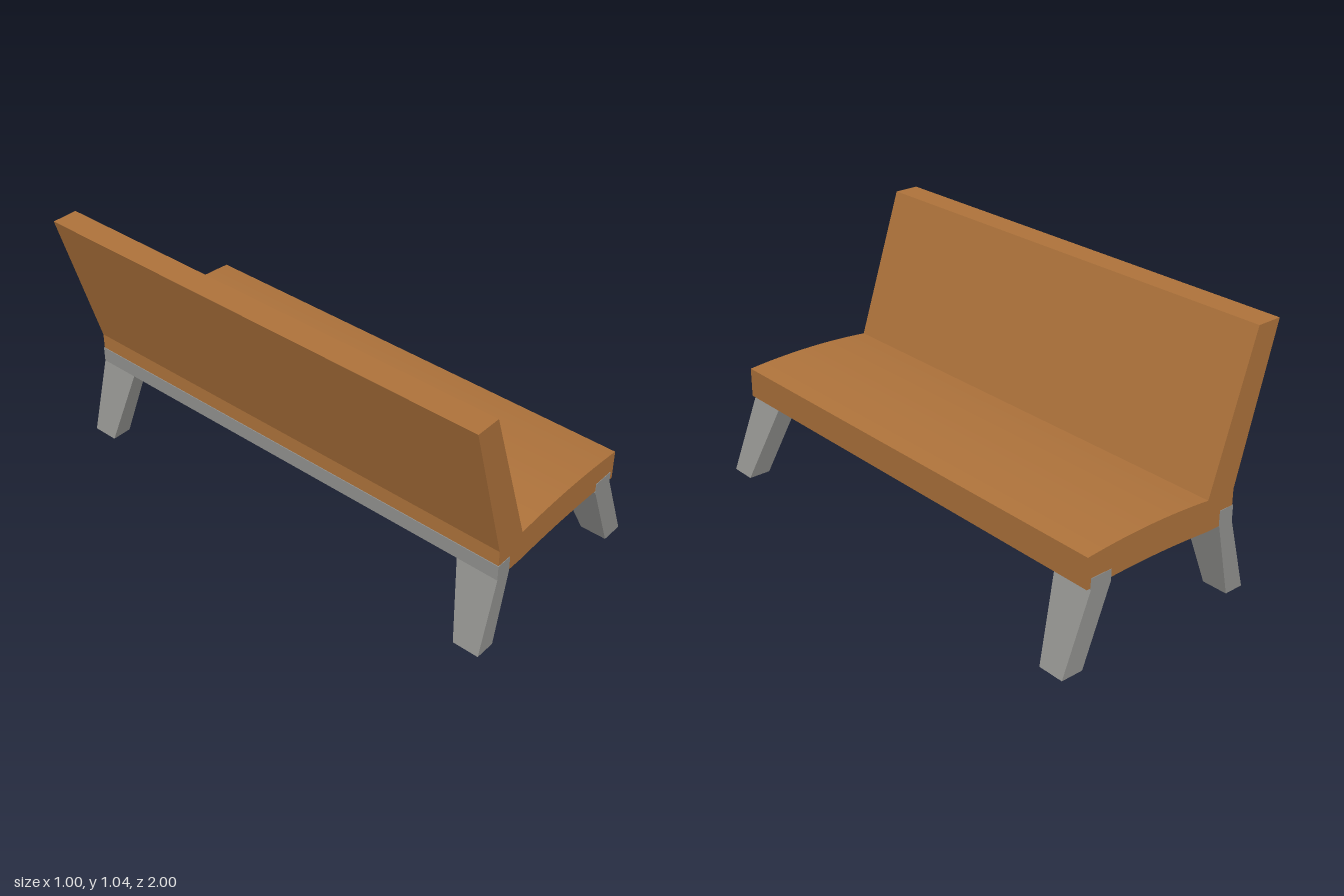
import * as THREE from 'three';

const wood = new THREE.MeshStandardMaterial({ color: 0xb0743c });
wood.name = 'brown wood';
const metal = new THREE.MeshStandardMaterial({ color: 0x949491 });
metal.name = 'grey metal';

const HALF = 1;        // half the bench length
const RAIL_Y = 0.306;  // underside of the rails, where the legs start

function addMesh(group, name, geometry, material) {
  const mesh = new THREE.Mesh(geometry, material);
  mesh.name = name;
  group.add(mesh);
  return mesh;
}

// Seat and backrest: one side profile run along the length
function seatGeometry() {
  const s = new THREE.Shape();
  s.moveTo(-0.325, 0.308);
  s.lineTo(-0.19, 0.308);
  s.quadraticCurveTo(0.1, 0.331, 0.393, 0.311);
  s.lineTo(0.393, 0.435);
  s.quadraticCurveTo(0.1, 0.464, -0.192, 0.435);
  s.lineTo(-0.393, 1.04);
  s.lineTo(-0.5, 1.04);
  s.lineTo(-0.325, 0.435);
  s.closePath();
  const depth = 2 * (HALF - 0.002);
  const geometry = new THREE.ExtrudeGeometry(s, { depth, bevelEnabled: false, curveSegments: 16 });
  return geometry.translate(0, 0, -depth / 2);
}

// Tapered, splayed leg: flush with the bench end, narrowing inwards to the foot
function legGeometry(top, foot, side) {
  const geometry = new THREE.BoxGeometry(1, 1, 1);
  const p = geometry.attributes.position;
  for (let i = 0; i < p.count; i++) {
    const up = p.getY(i) > 0;
    const x = (up ? top : foot)[p.getX(i) > 0 ? 1 : 0];
    const outer = p.getZ(i) * side > 0;
    const z = side * (outer ? HALF : up ? 0.825 : 0.89);
    p.setXYZ(i, x, up ? RAIL_Y : 0, z);
  }
  geometry.computeVertexNormals();
  return geometry;
}

export function createModel() {
  const bench = new THREE.Group();
  bench.name = 'bench';
  addMesh(bench, 'seatAndBackrest', seatGeometry(), wood);

  // Each frame: a full-length rail let into the seat, and a leg at both ends
  const frames = [
    { name: 'rear', top: [-0.328, -0.26], foot: [-0.413, -0.328], railTop: 0.37 },
    { name: 'front', top: [0.282, 0.376], foot: [0.404, 0.498], railTop: 0.35 },
  ];
  for (const { name, top, foot, railTop } of frames) {
    const rail = new THREE.BoxGeometry(top[1] - top[0], railTop - RAIL_Y, 2 * HALF);
    rail.translate((top[0] + top[1]) / 2, (railTop + RAIL_Y) / 2, 0);
    addMesh(bench, name + 'Rail', rail, metal);
    for (const side of [-1, 1]) {
      addMesh(bench, name + 'Leg', legGeometry(top, foot, side), metal);
    }
  }
  return bench;
}
